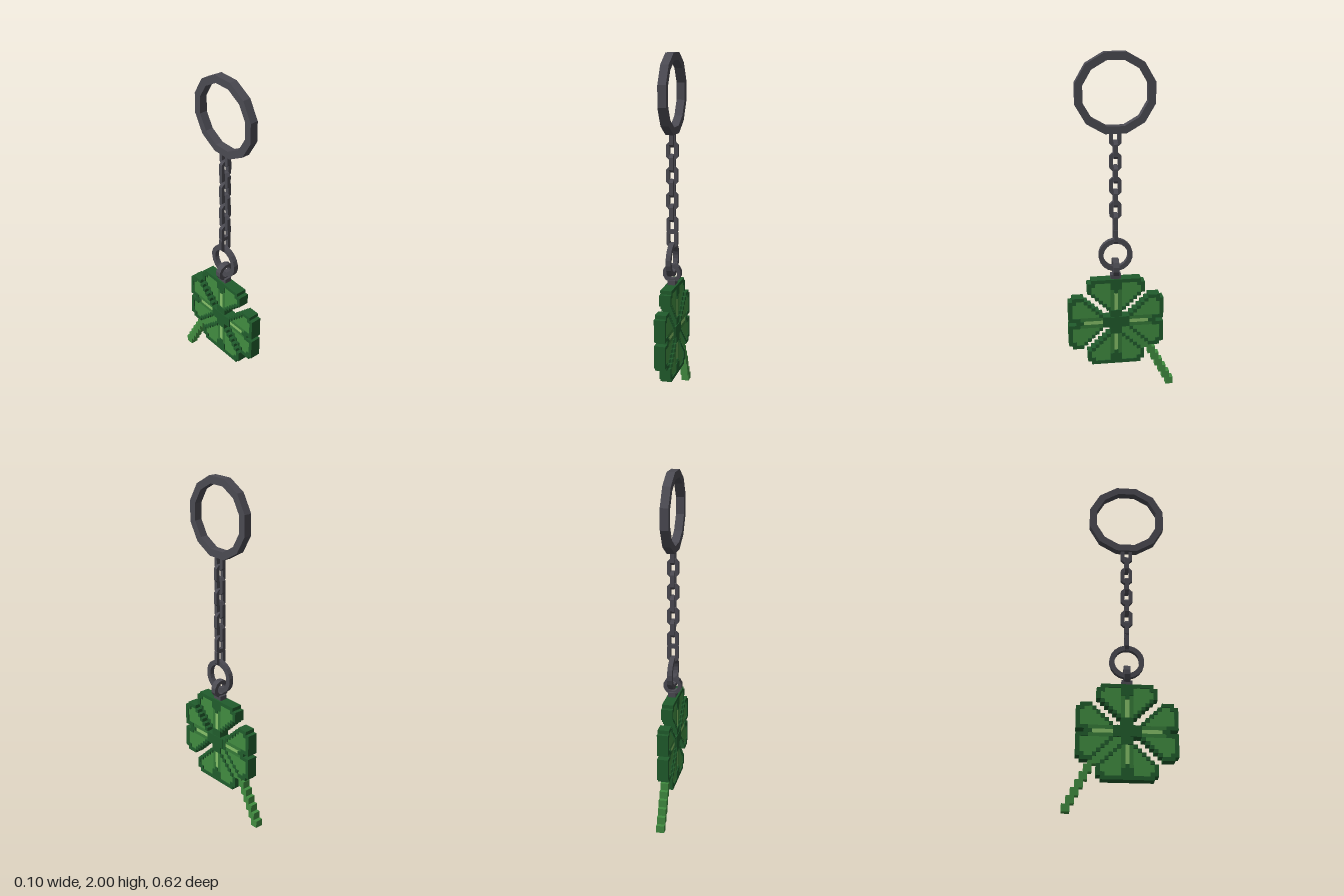
import * as THREE from 'three';

const MID_Z = 0.033; // the pendant hangs slightly off the z centre

const mat = (name, color) => {
  const m = new THREE.MeshStandardMaterial({ color });
  m.name = name;
  return m;
};

// Flat closed frame: outline with a hole, extruded and centred
function frameGeometry(outer, inner, depth) {
  const shape = new THREE.Shape(outer);
  shape.holes.push(new THREE.Path(inner));
  const g = new THREE.ExtrudeGeometry(shape, { depth, bevelEnabled: false });
  return g.translate(0, 0, -depth / 2);
}

// Regular polygon with a flat side on top
function polygon(radius, sides) {
  return Array.from({ length: sides }, (_, i) => {
    const a = Math.PI / 2 + ((i + 0.5) * 2 * Math.PI) / sides;
    return new THREE.Vector2(radius * Math.cos(a), radius * Math.sin(a));
  });
}

// Rectangle with cut corners
function chamferedRect(w, h, c) {
  const x = w / 2, y = h / 2;
  return [[x, y - c], [x - c, y], [c - x, y], [-x, y - c], [-x, c - y], [c - x, -y], [x - c, -y], [x, c - y]]
    .map(([a, b]) => new THREE.Vector2(a, b));
}

// Half of one heart-shaped leaf from its rim towards the centre, column 0 is the midline
// D outline, G leaf, M soft vein, L bright vein
const LEAF = [
  'DDDDDDD', 'DDGGGGDD', 'DDGGGGGD', 'DMGGGGGD', 'LMGGGGD', 'LMGGGD',
  'LMGGD', 'LMGD', 'LMD', 'DD', 'DD', 'DD',
];
const HALF_DEPTH = { D: 0.032, G: 0.026, M: 0.026, L: 0.026, C: 0.035, S: 0.023 };
const PART_NAMES = { D: 'leafOutline', G: 'leafBlade', M: 'leafSoftVein', L: 'leafBrightVein', C: 'cloverCentre', S: 'stem' };

// Grid of clover cells keyed "row,column"; columns run along -z
function cloverCells() {
  const cells = new Map();
  const put = (r, c, kind) => {
    const key = `${r},${c}`;
    if (!cells.has(key)) cells.set(key, { r, c, kind });
  };
  // Centre
  for (let r = -1; r <= 1; r++) for (let c = -2; c <= 2; c++) put(r, c, 'C');
  // Four leaves
  LEAF.forEach((row, i) => {
    const d = 12 - i;
    [...row].forEach((kind, k) => {
      for (const s of [-1, 1]) {
        put(d, s * k, kind);
        put(-d, s * k, kind);
        if (d >= 11 && k === 0) continue; // notch in the side leaves
        put(s * k, d, kind);
        put(s * k, -d, kind);
      }
    });
  });
  // Stem: diagonal between two leaves, then steeper to its tip
  for (let d = 2; d <= 20; d++) {
    const c = d <= 8 ? d : 8 + Math.round((d - 8) * 0.5);
    put(-d, c, 'S');
    put(-d, c + 1, 'S');
    if (d <= 8) put(-d, c - 1, 'S');
  }
  return cells;
}

// Outer faces only of all cells of one kind
function cellGeometry(cells, kind) {
  const PY = 0.0215, PZ = 0.0222, pos = [];
  const quad = (a, b, c, d) => pos.push(...a, ...b, ...c, ...a, ...c, ...d);
  for (const cell of cells.values()) {
    if (cell.kind !== kind) continue;
    const h = HALF_DEPTH[kind];
    const at = (x, v, w) => [x, 0.44 + (cell.r + v) * PY, MID_Z + (-cell.c + w) * PZ];
    quad(at(h, -0.5, -0.5), at(h, 0.5, -0.5), at(h, 0.5, 0.5), at(h, -0.5, 0.5));
    quad(at(-h, -0.5, 0.5), at(-h, 0.5, 0.5), at(-h, 0.5, -0.5), at(-h, -0.5, -0.5));
    for (const [dy, dz] of [[1, 0], [-1, 0], [0, 1], [0, -1]]) {
      const next = cells.get(`${cell.r + dy},${cell.c - dz}`);
      const low = next ? HALF_DEPTH[next.kind] : 0;
      if (low >= h) continue;
      const p = (x, s) => at(x, (dy + s * dz) / 2, (dz - s * dy) / 2);
      for (const [x0, x1] of low ? [[low, h], [-h, -low]] : [[-h, h]]) {
        quad(p(x0, -1), p(x1, -1), p(x1, 1), p(x0, 1));
      }
    }
  }
  const g = new THREE.BufferGeometry();
  g.setAttribute('position', new THREE.Float32BufferAttribute(pos, 3));
  g.computeVertexNormals();
  return g;
}

export function createModel() {
  const model = new THREE.Group();
  model.name = 'cloverKeychain';
  const metal = mat('darkMetal', 0x4b4a52);
  const dark = mat('darkGreen', 0x205c2c);
  const green = mat('leafGreen', 0x418c40);
  const soft = mat('softGreen', 0x357a38);
  const bright = mat('brightGreen', 0x86bf68);

  const add = (name, geometry, material, y = 0, z = 0, sideways = false) => {
    const mesh = new THREE.Mesh(geometry, material);
    mesh.name = name;
    mesh.position.set(0, y, z);
    if (sideways) mesh.rotation.y = Math.PI / 2;
    model.add(mesh);
  };

  // Large key ring
  add('keyRing', frameGeometry(polygon(0.227, 12), polygon(0.184, 12), 0.046), metal, 1.781, MID_Z, true);

  // Chain links, alternating by a quarter turn
  const link = frameGeometry(chamferedRect(0.066, 0.1, 0.016), chamferedRect(0.026, 0.058, 0.004), 0.022);
  for (let i = 0; i < 8; i++) add('chainLink', link, metal, 1.54 - i * 0.0698, MID_Z, i % 2 === 0);
  add('chainEndLink', link, metal, 0.975, MID_Z);

  // Small ring and the loop that holds the clover
  add('smallRing', frameGeometry(polygon(0.098, 20), polygon(0.07, 20), 0.028), metal, 0.852, MID_Z, true);
  add('pendantLoop', frameGeometry(polygon(0.054, 12), polygon(0.032, 12), 0.034), metal, 0.775, MID_Z);
  add('pendantMount', new THREE.BoxGeometry(0.044, 0.03, 0.06), metal, 0.721, MID_Z);

  // Clover pendant
  const cells = cloverCells();
  const materials = { D: dark, G: green, M: soft, L: bright, C: dark, S: green };
  for (const kind in materials) add(PART_NAMES[kind], cellGeometry(cells, kind), materials[kind]);

  return model;
}
